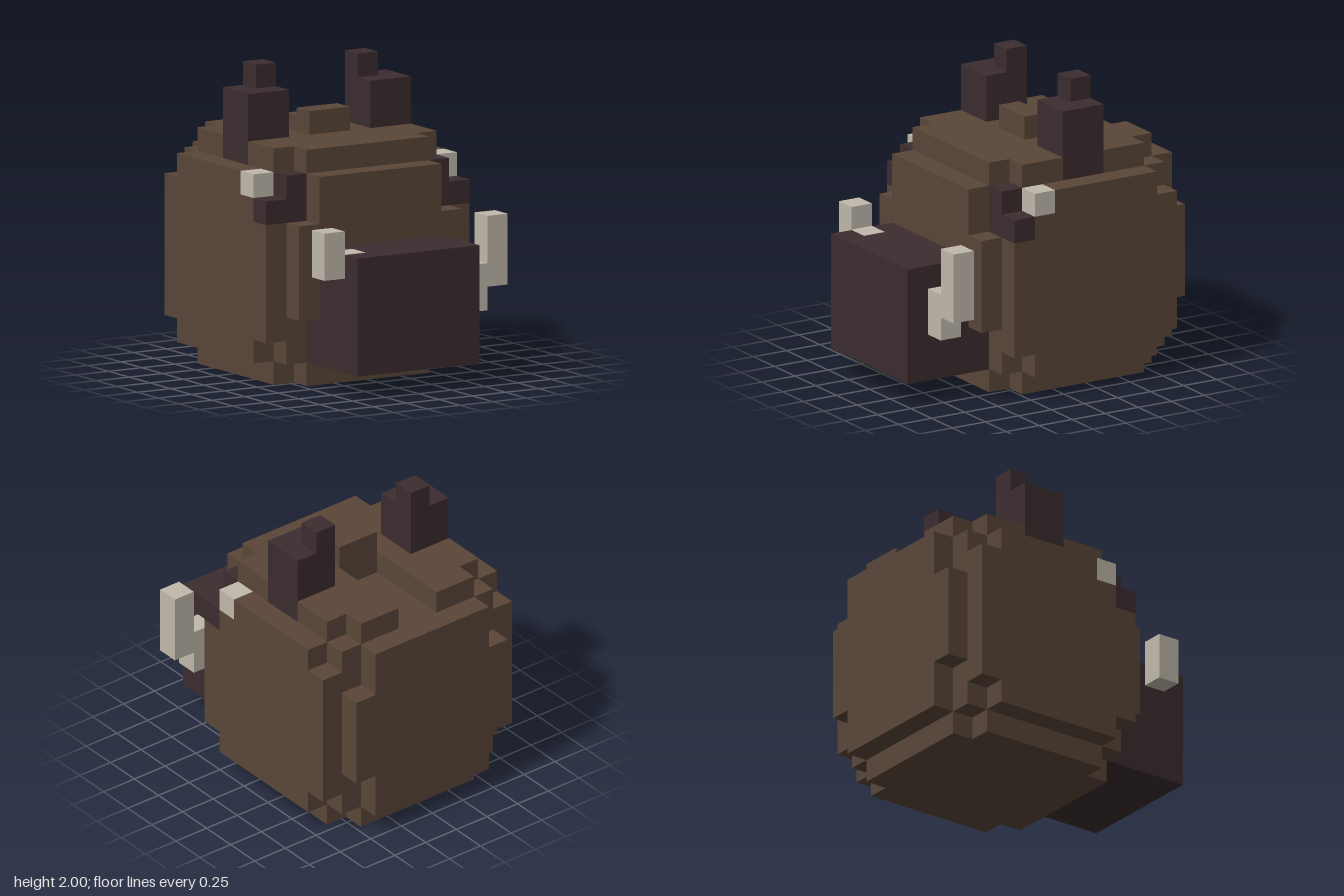
import * as THREE from 'three';
import { mergeGeometries } from 'three/addons/utils/BufferGeometryUtils.js';

const U = 2 / 13; // one block

const material = (name, color) => {
  const m = new THREE.MeshStandardMaterial({ color });
  m.name = name;
  return m;
};

// Block from grid limits: x about the centre, y from the ground, z counted from the back
function block([x0, x1, y0, y1, z0, z1]) {
  const g = new THREE.BoxGeometry((x1 - x0) * U, (y1 - y0) * U, (z1 - z0) * U);
  return g.translate((x0 + x1) / 2 * U, (y0 + y1) / 2 * U, (z0 + z1) / 2 * U - 1);
}

const mirror = ([x0, x1, ...rest]) => [-x1, -x0, ...rest];

export function createModel() {
  const model = new THREE.Group();
  model.name = 'boarHead';
  const brown = material('brown fur', 0x5a4638);
  const dark = material('dark hide', 0x3b2c2f);
  const ivory = material('ivory', 0xc0b8ab);

  const part = (name, mat, boxes) => {
    const mesh = new THREE.Mesh(mergeGeometries(boxes.map(block)), mat);
    mesh.name = name;
    model.add(mesh);
  };
  const pair = (name, mat, boxes) => {
    part('left' + name, mat, boxes);
    part('right' + name, mat, boxes.map(mirror));
  };

  // Head core and the raised layers along its middle
  part('headCore', brown, [[-3, 3, 1, 9, 1, 9]]);
  part('foreheadPlate', brown, [[-3, 3, 6, 9, 9, 10]]);
  part('backPlate', brown, [[-3, 3, 1, 9, 0, 1]]);
  part('chinPlate', brown, [[-3, 3, 0, 1, 1, 9]]);
  part('crownMiddle', brown, [[-1, 1, 9, 10, 5, 9]]);
  part('foreheadTuft', brown, [[-1, 1, 10, 11, 5, 6]]);

  // Mirrored outer layers, stepped at the corners and cut out for eyes and ears
  pair('HeadSide', brown, [[3, 4, 1, 9, 1, 8], [3, 4, 1, 7, 8, 9]]);
  pair('Cheek', brown, [
    [4, 5, 2, 8, 1, 2], [4, 5, 1, 9, 2, 7], [4, 5, 1, 8, 7, 8], [4, 5, 2, 7, 8, 9],
  ]);
  pair('FrontEdge', brown, [[3, 4, 3, 7, 9, 10]]);
  pair('BackEdge', brown, [[3, 4, 3, 7, 0, 1]]);
  pair('ChinEdge', brown, [[3, 4, 0, 1, 2, 8]]);
  pair('Crown', brown, [
    [1, 2, 9, 10, 1, 9],
    [2, 3, 9, 10, 1, 4], [2, 3, 9, 10, 6, 9],
    [3, 4, 9, 10, 2, 4], [3, 4, 9, 10, 6, 8],
  ]);

  // Muzzle, ears and eyes
  part('muzzle', dark, [[-3, 3, 1, 6, 9, 13]]);
  pair('Ear', dark, [[2, 4, 9, 12, 4, 6], [2, 3, 12, 13, 4, 5]]);
  pair('Eye', dark, [[3, 4, 7, 9, 8, 9], [4, 5, 7, 8, 8, 9]]);
  pair('EyeWhite', ivory, [[4, 5, 8, 9, 7, 8]]);

  // Tusks: the right one sits further in and higher, its root just showing on the muzzle top
  part('leftTusk', ivory, [[3, 4, 3, 5, 11, 12], [4, 5, 4, 7, 11, 12]]);
  part('rightTusk', ivory, [[-3, -2, 4, 6.02, 11, 12], [-4, -3, 5, 7, 11, 12]]);

  return model;
}
